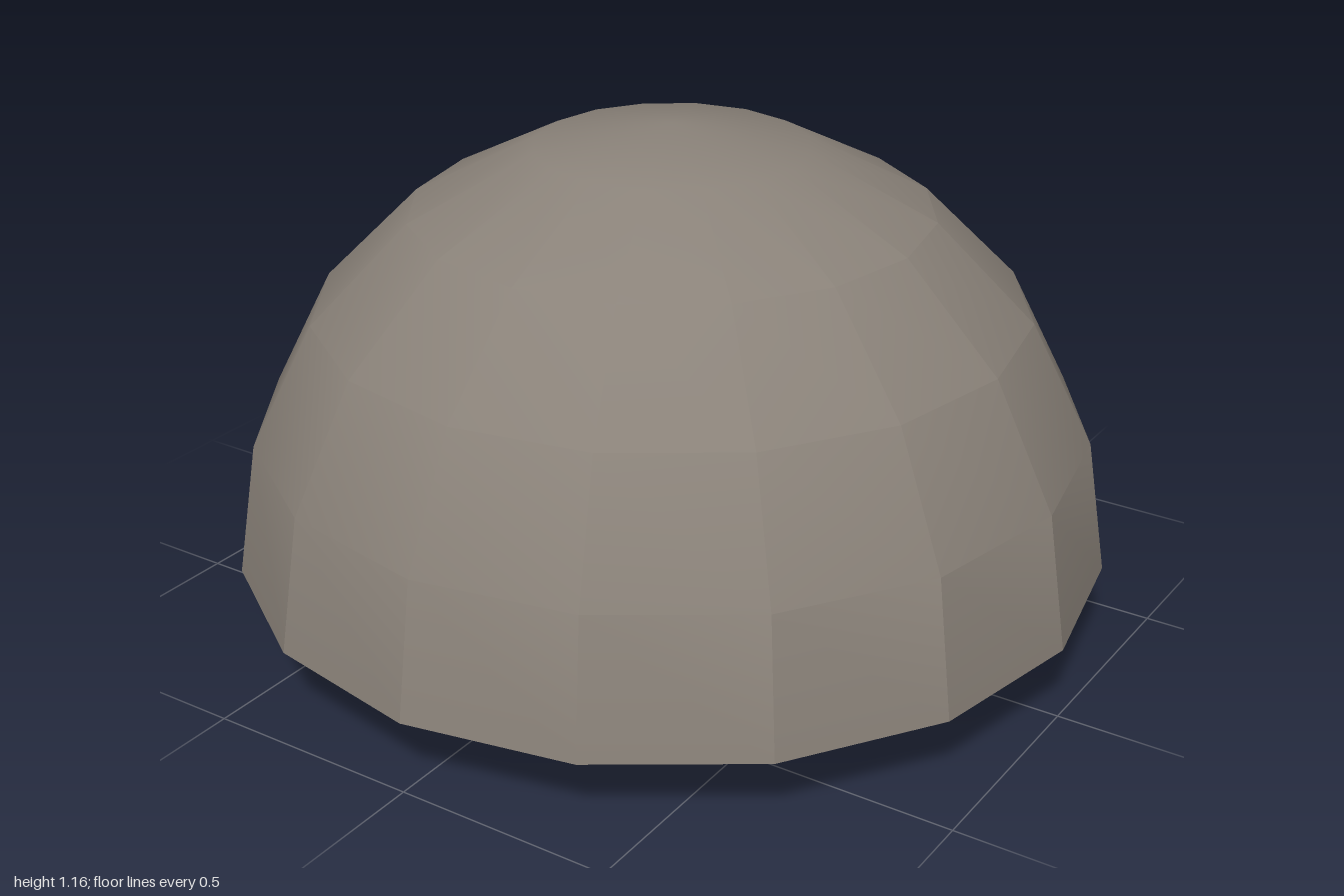
import * as THREE from 'three';
import { toCreasedNormals } from 'three/addons/utils/BufferGeometryUtils.js';

const SIDES = 16;
const RIM_Y = 0.165;
const BASE_Y = 0.125;

// Crystals: x, z, radius, height of the lower face, tilt about x, tilt about z, spin
const CRYSTALS = [
  [0.67, 0.20, 0.12, 0.047, -0.27, 0.28, 0.3],
  [0.39, 0.11, 0.12, 0.035, 0.10, 0.18, 0.9],
  [0.33, 0.37, 0.13, 0.035, 0.10, 0.12, 0.1],
  [0.23, 0.16, 0.11, 0.035, -0.15, -0.10, 0.6],
  [0.07, -0.02, 0.13, 0.035, 0.12, 0.15, 0.2],
  [0.06, -0.14, 0.12, 0.05, 0.15, -0.10, 0.8],
  [0.04, 0.52, 0.12, 0.045, -0.22, -0.12, 0.4],
  [-0.02, 0.30, 0.125, 0.05, -0.28, -0.20, 0.0],
  [-0.26, 0.20, 0.125, 0.03, 0.05, -0.12, 0.5],
  [-0.27, -0.16, 0.12, 0.045, 0.20, 0.10, 0.7],
  [-0.40, -0.13, 0.12, 0.035, -0.12, 0.15, 0.2],
  [-0.46, -0.42, 0.13, 0.04, 0.0, 0.06, 0.0],
  [-0.62, 0.01, 0.125, 0.03, 0.06, 0.12, 0.5],
];

function addMesh(parent, name, geometry, material) {
  const mesh = new THREE.Mesh(geometry, material);
  mesh.name = name;
  parent.add(mesh);
  return mesh;
}

export function createModel() {
  const model = new THREE.Group();
  model.name = 'geode';
  const stone = new THREE.MeshStandardMaterial({ name: 'stone grey', color: 0x8a8279 });
  const amethyst = new THREE.MeshStandardMaterial({ name: 'crystal purple', color: 0x9966cc });

  // Half-round stone shell, smooth on top with facets near the rim
  const dome = new THREE.SphereGeometry(1, SIDES, 5, 0, Math.PI * 2, 0, Math.PI / 2);
  addMesh(model, 'shell', toCreasedNormals(dome, 0.36), stone).position.y = RIM_Y;

  // Underside of the shell
  const underside = new THREE.CircleGeometry(1, SIDES).rotateX(Math.PI / 2);
  addMesh(model, 'shellUnderside', underside, stone).position.y = RIM_Y;

  // Inset plate that carries the crystals
  const plate = new THREE.CylinderGeometry(0.93, 0.93, RIM_Y - BASE_Y, SIDES);
  addMesh(model, 'innerPlate', toCreasedNormals(plate, 0.3), stone).position.y = (RIM_Y + BASE_Y) / 2;

  // Tapered six-sided crystals, widest at their free lower end
  const crystals = new THREE.Group();
  crystals.name = 'crystals';
  for (const [x, z, r, y, tiltX, tiltZ, spin] of CRYSTALS) {
    const shape = new THREE.CylinderGeometry(r * 0.55, r, 0.16, 6).translate(0, 0.08, 0).rotateY(spin);
    const crystal = addMesh(crystals, 'crystal', toCreasedNormals(shape, 0.3), amethyst);
    crystal.position.set(x, y, z);
    crystal.rotation.set(tiltX, 0, tiltZ);
  }
  model.add(crystals);

  // Rest the lowest crystal on the ground
  const lowest = new THREE.Box3().setFromObject(crystals, true).min.y;
  crystals.position.y = -lowest;
  return model;
}
